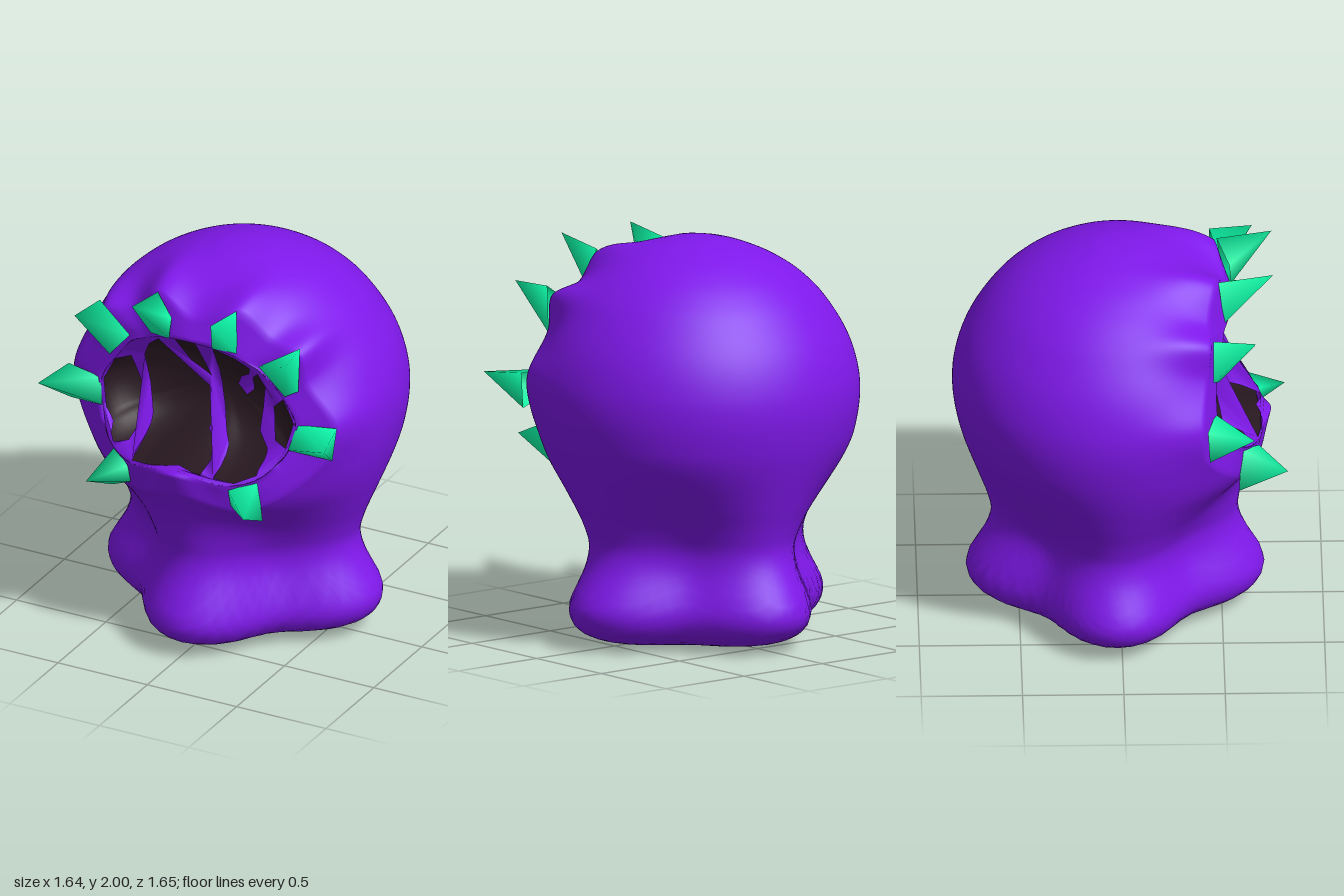
import * as THREE from 'three';

const V = (a) => new THREE.Vector3(...a);
const PURPLE = 0x7f18ea, GREEN = 0x0cfcaa, DARK = 0x281820;
const CENTRE = V([0, 1.2, 0]);
const PHI = 280;
const STRETCH = 1.6;

// Body silhouette: heights and radii
const HEIGHTS = [0, 0.01, 0.03, 0.06, 0.1, 0.17, 0.23, 0.3, 0.4, 0.5, 0.6, 0.75, 0.9, 1.05, 1.2,
  1.33, 1.5, 1.65, 1.75, 1.85, 1.93, 1.98, 1.995, 2];
const RADII = [0.3, 0.42, 0.55, 0.64, 0.7, 0.735, 0.73, 0.69, 0.635, 0.612, 0.635, 0.695, 0.752, 0.795,
  0.818, 0.812, 0.762, 0.676, 0.595, 0.475, 0.325, 0.17, 0.085, 0];
const profile = new THREE.CubicInterpolant(HEIGHTS, RADII, 1);

// Half outlines of the mouth, bottom centre to top centre
const RIM = [
  [0, 1.05, 0.745], [0.13, 1.035, 0.71], [0.26, 1.015, 0.68], [0.42, 1.06, 0.59], [0.53, 1.2, 0.5],
  [0.55, 1.33, 0.47], [0.46, 1.48, 0.47], [0.36, 1.6, 0.48], [0.28, 1.64, 0.505], [0.2, 1.67, 0.53],
  [0, 1.7, 0.56],
];
const BROW = [
  [0, 0.93, 0.715], [0.15, 0.9, 0.69], [0.3, 0.87, 0.63], [0.48, 0.94, 0.55], [0.69, 1.15, 0.42],
  [0.73, 1.33, 0.4], [0.58, 1.54, 0.42], [0.54, 1.7, 0.44], [0.38, 1.75, 0.43], [0.22, 1.88, 0.47],
  [0, 1.8, 0.51],
];

function closedLoop(half) {
  const mirrored = half.slice(1, -1).reverse().map(([x, y, z]) => [-x, y, z]);
  return new THREE.CatmullRomCurve3([...half, ...mirrored].map(V), true);
}

function sample(curve, n) {
  return Array.from({ length: n }, (_, j) => curve.getPoint(j / n));
}

// Depth of the web of strands behind the lip
function mouthZ(x, y) {
  const bowed = 0.71 - 0.26 * (y - 1.05) - 0.58 * x * x;
  const limit = 0.46 + Math.max(0, 1.35 - y) * 0.2 + Math.max(0, 1.14 - y) * 2.2
    + Math.max(0, y - 1.5) * 0.35;
  return Math.min(bowed, limit);
}

// Round head, four-lobed foot, hollow below the lip
function inside(p) {
  if (p.y < 0 || p.y > 2) return false;
  const z = p.z + 0.01 + 0.015 * (1 - THREE.MathUtils.smoothstep(p.y, 0.5, 0.9));
  const az = Math.atan2(p.x, z);
  const lobes = 0.25 * (1 - THREE.MathUtils.smoothstep(p.y, 0.3, 1.05));
  const hollow = 0.055 * Math.max(0, Math.cos(az)) ** 2 * Math.exp(-(((p.y - 0.78) / 0.18) ** 2));
  const r = profile.evaluate(p.y)[0] * (1 - lobes * Math.sin(2 * az) ** 2) - hollow;
  return Math.hypot(p.x, z) < r;
}

// Point along a ray from the centre; rays bend outwards below it to follow the foot
function along(dir, r) {
  const p = dir.clone().multiplyScalar(r);
  if (p.y < 0) p.y = Math.asinh(STRETCH * p.y) / STRETCH;
  return p.add(CENTRE);
}

// Ray vector that leads to a given point
function rayTo(point) {
  const d = point.clone().sub(CENTRE);
  if (d.y < 0) d.y = Math.sinh(STRETCH * d.y) / STRETCH;
  return d;
}

// Distance from the centre to the body surface along a ray
function reach(dir) {
  let lo = 0.2, hi = 2.4;
  for (let i = 0; i < 28; i++) {
    const mid = (lo + hi) / 2;
    if (inside(along(dir, mid))) lo = mid; else hi = mid;
  }
  return lo;
}

// Skin over closed rings of equal point count
function loft(rings) {
  const n = rings[0].length, pos = [], idx = [];
  rings.forEach((ring) => ring.forEach((p) => pos.push(p.x, p.y, p.z)));
  for (let i = 0; i < rings.length - 1; i++) {
    for (let j = 0; j < n; j++) {
      const a = i * n + j, b = i * n + ((j + 1) % n);
      idx.push(a, a + n, b, b, a + n, b + n);
    }
  }
  const g = new THREE.BufferGeometry();
  g.setAttribute('position', new THREE.Float32BufferAttribute(pos, 3));
  g.setIndex(idx);
  g.computeVertexNormals();
  return g;
}

function bodyGeometry(inner, rim, brow) {
  // Inside of the lip, then the ledge from mouth rim to brow
  const rings = [inner];
  for (let i = 0; i < 6; i++) rings.push(rim.map((p, j) => p.clone().lerp(brow[j], i / 6)));
  // Sweep from the brow round to the back
  const spokes = brow.map((p) => {
    const d = rayTo(p), len = d.length();
    d.divideScalar(len);
    return {
      start: Math.acos(d.z),
      out: new THREE.Vector3(d.x, d.y, 0).normalize(),
      bulge: len - reach(d),
    };
  });
  const N = 80;
  for (let i = 0; i <= N; i++) {
    const t = i / N;
    rings.push(spokes.map(({ start, out, bulge }) => {
      const a = start + (Math.PI - start) * t;
      const d = out.clone().multiplyScalar(Math.sin(a));
      d.z = Math.cos(a);
      return along(d, reach(d) + bulge * Math.exp(-((t * 7) ** 2)));
    }));
  }
  return loft(rings);
}

// Bowl behind the mouth
function cavityGeometry(inner) {
  const rings = [];
  for (let i = 12; i >= 0; i--) {
    const s = i / 12, depth = Math.sin((s * Math.PI) / 2), k = 1 - s * s;
    rings.push(inner.map((p) => new THREE.Vector3(
      p.x * k, 1.34 + (p.y - 1.34) * k, p.z + (0.22 - p.z) * depth)));
  }
  return loft(rings);
}

// Gaps between the strands across the mouth
const GAPS = [
  [[-0.53, 1.33], [-0.47, 1.45], [-0.38, 1.49], [-0.29, 1.31], [-0.32, 1.1], [-0.4, 1.08], [-0.5, 1.19]],
  [[-0.2, 1.65], [-0.05, 1.52], [0.06, 1.43], [0.1, 1.29], [0.07, 1.21], [0.14, 1.1], [0.13, 1.055],
    [0, 1.07], [-0.26, 1.035], [-0.24, 1.22], [-0.3, 1.52], [-0.26, 1.6]],
  [[-0.1, 1.675], [0.01, 1.68], [0.07, 1.49], [-0.03, 1.56]],
  [[0.11, 1.67], [0.22, 1.64], [0.3, 1.595], [0.29, 1.56], [0.24, 1.53], [0.22, 1.48], [0.27, 1.43],
    [0.31, 1.47], [0.31, 1.54], [0.34, 1.57], [0.37, 1.5], [0.35, 1.26], [0.4, 1.18], [0.4, 1.08],
    [0.3, 1.035], [0.2, 1.045], [0.21, 1.09], [0.17, 1.22], [0.14, 1.4]],
  [[0.42, 1.4], [0.47, 1.45], [0.53, 1.33], [0.5, 1.2], [0.44, 1.23]],
];

// Gap outline with each edge split so the web can bend
function gapPath(gap) {
  const pts = gap.map(([x, y]) => new THREE.Vector2(x, y));
  return new THREE.Path(pts.flatMap((p, i) => {
    const next = pts[(i + 1) % pts.length];
    return [0, 0.25, 0.5, 0.75].map((t) => p.clone().lerp(next, t));
  }));
}

function strandGeometry(inner) {
  const shape = new THREE.Shape(inner.filter((_, j) => j % 4 === 0).map((p) => new THREE.Vector2(p.x, p.y)));
  shape.holes = GAPS.map(gapPath);
  const g = new THREE.ShapeGeometry(shape);
  const p = g.attributes.position;
  for (let i = 0; i < p.count; i++) p.setZ(i, mouthZ(p.getX(i), p.getY(i)));
  g.computeVertexNormals();
  return g;
}

// Each spike: tip, then four base corners
const SPIKES = [
  [[0.22, 1.93, 0.75], [0.22, 1.89, 0.48], [0.11, 1.8, 0.54], [0.12, 1.69, 0.55], [0.24, 1.67, 0.51]],
  [[0.59, 1.75, 0.66], [0.56, 1.75, 0.45], [0.36, 1.63, 0.51], [0.49, 1.48, 0.48], [0.55, 1.51, 0.45]],
  [[0.8, 1.32, 0.65], [0.55, 1.33, 0.46], [0.52, 1.2, 0.5], [0.73, 1.16, 0.43], [0.75, 1.34, 0.42]],
  [[0.44, 0.94, 0.82], [0.4, 1.04, 0.59], [0.28, 1.0, 0.68], [0.28, 0.9, 0.65], [0.42, 0.82, 0.58]],
];

function spikeGeometry(corners, side) {
  const g = new THREE.BufferGeometry();
  const pos = corners.flatMap(([x, y, z]) => [x * side, y, z]);
  const faces = [[0, 1, 2], [0, 2, 3], [0, 3, 4], [0, 4, 1]];
  g.setAttribute('position', new THREE.Float32BufferAttribute(pos, 3));
  g.setIndex(faces.flatMap(([a, b, c]) => (side > 0 ? [a, b, c] : [a, c, b])));
  g.computeVertexNormals();
  return g;
}

export function createModel() {
  const group = new THREE.Group();
  const add = (name, geometry, color, side = THREE.FrontSide) => {
    const mesh = new THREE.Mesh(geometry, new THREE.MeshStandardMaterial({ color, side }));
    mesh.name = name;
    group.add(mesh);
  };
  const rim = sample(closedLoop(RIM), PHI);
  const brow = sample(closedLoop(BROW), PHI);
  const inner = rim.map((p) => {
    const x = p.x * 0.985, y = 1.34 + (p.y - 1.34) * 0.985;
    return new THREE.Vector3(x, y, mouthZ(x, y));
  });

  add('body', bodyGeometry(inner, rim, brow), PURPLE);
  add('mouthCavity', cavityGeometry(inner), DARK, THREE.DoubleSide);
  add('mouthStrands', strandGeometry(inner), PURPLE, THREE.DoubleSide);
  SPIKES.forEach((spike, i) => {
    add(`leftSpike${i + 1}`, spikeGeometry(spike, 1), GREEN, THREE.DoubleSide);
    add(`rightSpike${i + 1}`, spikeGeometry(spike, -1), GREEN, THREE.DoubleSide);
  });
  return group;
}
